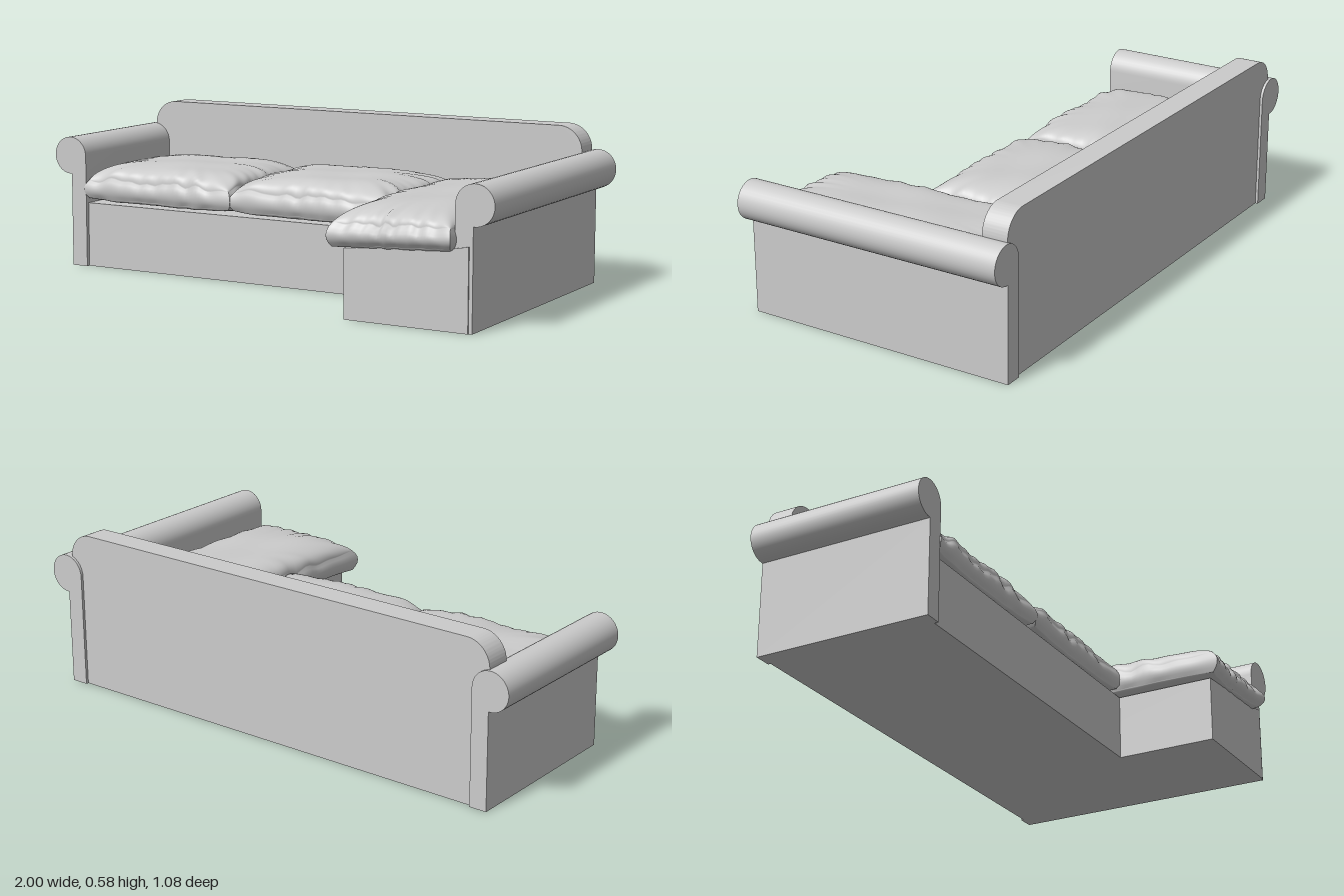
import * as THREE from 'three';
import { toCreasedNormals, mergeVertices } from 'three/addons/utils/BufferGeometryUtils.js';

const material = new THREE.MeshStandardMaterial({ color: 0xcccccc, side: THREE.DoubleSide });

function add(group, name, geometry) {
  const mesh = new THREE.Mesh(geometry, material);
  mesh.name = name;
  group.add(mesh);
  return mesh;
}

// Extrude an x-y outline from z0 to z1
function slab(shape, z0, z1) {
  const g = new THREE.ExtrudeGeometry(shape, { depth: z1 - z0, bevelEnabled: false, curveSegments: 20 });
  g.translate(0, 0, z0);
  return toCreasedNormals(g, 0.6);
}

function polygon(points) {
  return new THREE.Shape(points.map(([x, y]) => new THREE.Vector2(x, y)));
}

// Upright panel that flows into an outward roll; side is +1 (left) or -1 (right)
function armShape(side) {
  const points = [[0.925, 0], [0.86, 0], [0.86, 0.42]];
  const steps = 28;
  for (let i = 1; i <= steps; i++) {
    const a = Math.PI - (i / steps) * Math.PI * 1.5;
    points.push([0.93 + 0.07 * Math.cos(a), 0.42 + 0.07 * Math.sin(a)]);
  }
  points.push([0.925, 0.35]);
  return polygon(points.map(([x, y]) => [x * side, y]));
}

// Backrest outline with rounded top corners
function backShape() {
  const s = new THREE.Shape();
  const [l, r, top, c] = [-0.92, 0.91, 0.58, 0.09];
  s.moveTo(l, 0);
  s.lineTo(r, 0);
  s.lineTo(r, top - c);
  s.absarc(r - c, top - c, c, 0, Math.PI / 2, false);
  s.lineTo(l + c, top);
  s.absarc(l + c, top - c, c, Math.PI / 2, Math.PI, false);
  s.lineTo(l, 0);
  return s;
}

// Soft cushion: a subdivided box inflated by a rule, with pleats near the seams
function cushionGeometry(x0, x1, z0, z1, seed, slump) {
  const n = 56;
  let g = new THREE.BoxGeometry(2, 2, 2, n, 6, n);
  g.deleteAttribute('uv');
  g.deleteAttribute('normal');
  g = mergeVertices(g);
  const p = g.attributes.position;
  const hx = (x1 - x0) / 2, hz = (z1 - z0) / 2;
  for (let i = 0; i < p.count; i++) {
    const u = Math.sin(p.getX(i) * Math.PI / 2);
    const v = Math.sin(p.getZ(i) * Math.PI / 2);
    const w = p.getY(i);
    const edge = Math.max(Math.abs(u), Math.abs(v));
    const dome = Math.pow((1 - u ** 4) * (1 - v ** 4), 0.5);
    const around = Math.atan2(v, u);
    // folds fan in from the seams and fade towards the middle
    const fold = Math.sin(around * 13 + seed + 2 * Math.sin(around * 5 + seed))
      + 0.6 * Math.sin(around * 29 + seed * 2);
    const crease = fold * 0.006 * edge ** 5;
    const soft = 0.003 * Math.sin(u * 5 + v * 3 + seed) * Math.sin(v * 6 - u * 2);
    // side walls bulge; edges draw in between the corners
    const bulge = 1 - 0.045 * w * w * edge ** 8;
    const drawX = 1 - 0.02 * (1 - v * v) * u ** 6 + 0.006 * fold * edge ** 10;
    const drawZ = 1 - 0.03 * (1 - u * u) * v ** 6 + 0.006 * fold * edge ** 10;
    const up = 0.035 + 0.063 * dome;
    const down = 0.035 + 0.02 * dome;
    let y = 0.297 + w * (w > 0 ? up : down) + (crease + soft) * (0.4 + 0.6 * w);
    y += slump * Math.max(0, v) ** 4 * u;
    p.setXYZ(i, (x0 + x1) / 2 + u * hx * bulge * drawX, y, (z0 + z1) / 2 + v * hz * bulge * drawZ);
  }
  g.computeVertexNormals();
  return g;
}

export function createModel() {
  const sofa = new THREE.Group();
  sofa.name = 'cornerSofa';

  // Frame
  add(sofa, 'backrest', slab(backShape(), -0.527, -0.432));
  add(sofa, 'rightArm', slab(armShape(-1), -0.537, 0.13));
  add(sofa, 'leftArm', slab(armShape(1), -0.537, 0.484));
  add(sofa, 'seatBase', slab(polygon([[-0.87, 0], [0.46, 0], [0.46, 0.242], [-0.87, 0.242]]), -0.44, 0.115));
  add(sofa, 'chaiseBase', slab(polygon([[0.455, 0], [0.912, 0], [0.912, 0.285], [0.86, 0.275], [0.455, 0.242]]), -0.44, 0.489));

  // Seat cushions
  const cushions = [
    ['rightCushion', -0.865, -0.215, -0.437, 0.135, 0.7, 0],
    ['middleCushion', -0.225, 0.425, -0.437, 0.135, 2.9, 0],
    ['chaiseCushion', 0.415, 0.868, -0.437, 0.535, 4.6, 0.012],
  ];
  for (const [name, ...dims] of cushions) add(sofa, name, cushionGeometry(...dims));

  return sofa;
}
